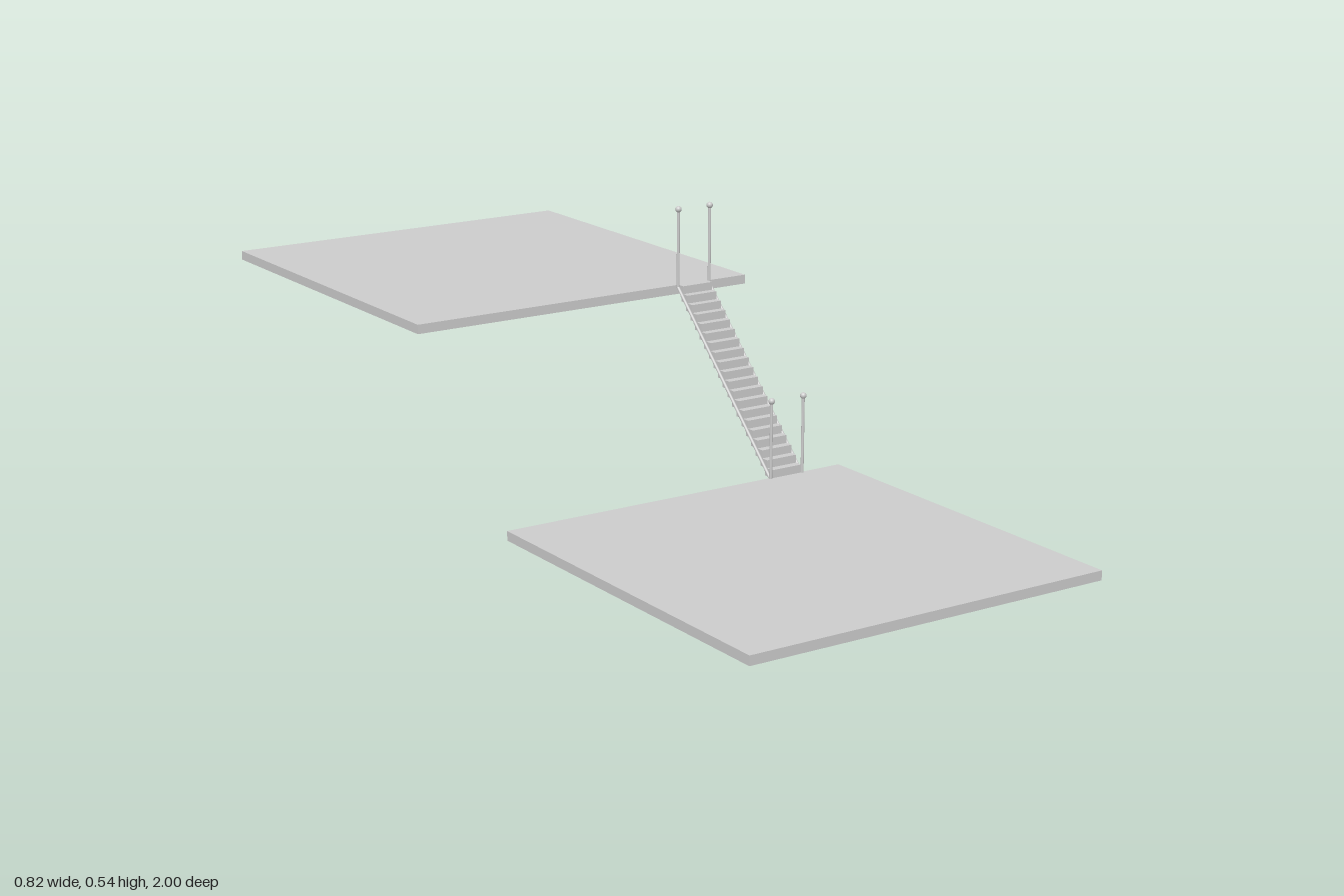
import * as THREE from 'three';

const material = new THREE.MeshStandardMaterial({ color: 0xcccccc });

function add(parent, name, geometry, x, y, z) {
  const mesh = new THREE.Mesh(geometry, material);
  mesh.name = name;
  mesh.position.set(x, y, z);
  parent.add(mesh);
  return mesh;
}

// Round bar between two points
function bar(parent, name, a, b, radius) {
  const dir = b.clone().sub(a);
  const mid = a.clone().add(b).multiplyScalar(0.5);
  const mesh = add(parent, name, new THREE.CylinderGeometry(radius, radius, dir.length(), 16), mid.x, mid.y, mid.z);
  mesh.quaternion.setFromUnitVectors(new THREE.Vector3(0, 1, 0), dir.normalize());
}

export function createModel() {
  const model = new THREE.Group();
  model.name = 'platformsWithStairs';

  // Two square platforms
  const slab = new THREE.BoxGeometry(0.824, 0.02, 0.825);
  add(model, 'lowerPlatform', slab, 0, 0.01, 0.5875);
  add(model, 'upperPlatform', slab, 0, 0.358, -0.5875);

  // Flight of overlapping block steps
  const stairs = new THREE.Group();
  stairs.name = 'stairs';
  model.add(stairs);
  const steps = 20;
  const tread = new THREE.BoxGeometry(0.076, 0.0174, 0.024);
  for (let i = 0; i < steps; i++) {
    const t = i / (steps - 1);
    add(stairs, 'step', tread, 0.2715, 0.029 + 0.331 * t, 0.167 - 0.334 * t);
  }

  // Sloping side bars, with a ball-topped post at each end
  const ball = new THREE.SphereGeometry(0.007, 20, 14);
  for (const x of [0.2305, 0.3125]) {
    const low = new THREE.Vector3(x, 0.018, 0.179);
    const high = new THREE.Vector3(x, 0.364, -0.17);
    bar(stairs, 'sideBar', low, high, 0.0033);
    for (const [foot, top] of [[low, 0.189], [high, 0.537]]) {
      bar(stairs, 'post', foot, new THREE.Vector3(x, top, foot.z), 0.0033);
      add(stairs, 'postBall', ball, x, top, foot.z);
    }
  }
  return model;
}
